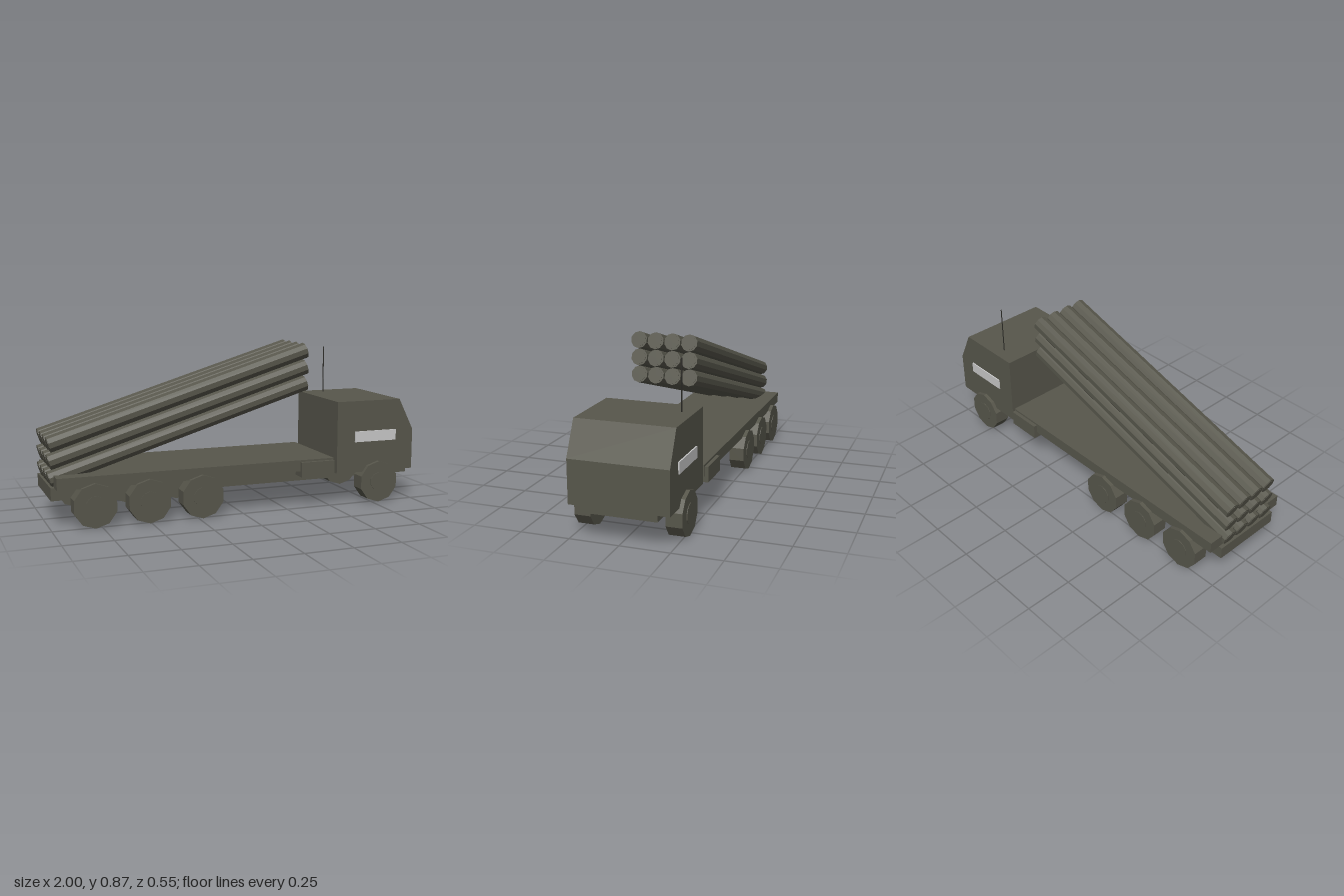
import * as THREE from 'three';

export function createModel() {
  const model = new THREE.Group();
  model.name = 'rocketTruck';

  const material = (name, color) => {
    const m = new THREE.MeshStandardMaterial({ color, flatShading: true });
    m.name = name;
    return m;
  };
  const olive = material('olive', 0x57564b);
  const glass = material('glass', 0xc8c8c8);
  const dark = material('dark', 0x2c2b27);

  const add = (name, geometry, mat = olive, parent = model) => {
    const mesh = new THREE.Mesh(geometry, mat);
    mesh.name = name;
    parent.add(mesh);
    return mesh;
  };
  // Box given by its limits on each axis
  const box = (name, x0, x1, y0, y1, z0, z1, mat) =>
    add(name, new THREE.BoxGeometry(x1 - x0, y1 - y0, z1 - z0), mat)
      .position.set((x0 + x1) / 2, (y0 + y1) / 2, (z0 + z1) / 2);

  // Chassis and flat bed
  box('chassis', -0.99, 0.998, 0.137, 0.202, -0.19, 0.19);
  box('bed', -0.97, 0.52, 0.2, 0.26, -0.25, 0.25);

  // Cab: side profile with a sloping front, extruded across the width
  const profile = new THREE.Shape([
    [0.54, 0.17], [1, 0.17], [1, 0.39], [0.915, 0.56], [0.54, 0.56],
  ].map(([x, y]) => new THREE.Vector2(x, y)));
  const cab = new THREE.ExtrudeGeometry(profile, { depth: 0.5, bevelEnabled: false });
  cab.translate(0, 0, -0.25);
  add('cab', cab);

  // Radio antenna on the cab roof
  add('antenna', new THREE.CylinderGeometry(0.003, 0.003, 0.27, 6), dark)
    .position.set(0.665, 0.685, -0.187);

  // Wheels, side windows and tool boxes on both sides
  const tyre = new THREE.CylinderGeometry(0.113, 0.113, 0.082, 10).rotateX(Math.PI / 2);
  const hub = new THREE.CylinderGeometry(0.052, 0.052, 0.088, 10).rotateX(Math.PI / 2);
  for (const s of [-1, 1]) {
    const side = s > 0 ? 'Front' : 'Back';
    for (const x of [-0.785, -0.507, -0.227, 0.787]) {
      const wheel = new THREE.Group();
      wheel.name = 'wheel' + side;
      wheel.position.set(x, 0.113, s * 0.229);
      add('tyre', tyre, olive, wheel);
      add('hub', hub, olive, wheel);
      model.add(wheel);
    }
    const zRange = (a, b) => (s > 0 ? [a, b] : [-b, -a]);
    box('window' + side, 0.645, 0.893, 0.337, 0.395, ...zRange(0.249, 0.257), glass);
    box('toolBox' + side, 0.325, 0.515, 0.17, 0.25, ...zRange(0.18, 0.27));
  }

  // Launcher: three rows of four raised tubes, each with a smaller end cap
  const angle = 0.297;
  const length = 1.447;
  const tube = new THREE.CylinderGeometry(0.0425, 0.0425, length, 10, 1, false, Math.PI / 2);
  const cap = new THREE.CylinderGeometry(0.034, 0.034, length + 0.004, 10, 1, false, Math.PI / 2);
  const launcher = new THREE.Group();
  launcher.name = 'launcher';
  for (let row = 0; row < 3; row++) {
    for (let col = 0; col < 4; col++) {
      const unit = new THREE.Group();
      unit.name = 'launchTube';
      unit.position.set(-0.295, 0.446 + row * 0.087, (col - 1.5) * 0.0875);
      unit.rotation.z = angle - Math.PI / 2;
      add('tube', tube, olive, unit);
      add('endCap', cap, olive, unit);
      launcher.add(unit);
    }
  }
  model.add(launcher);

  return model;
}
